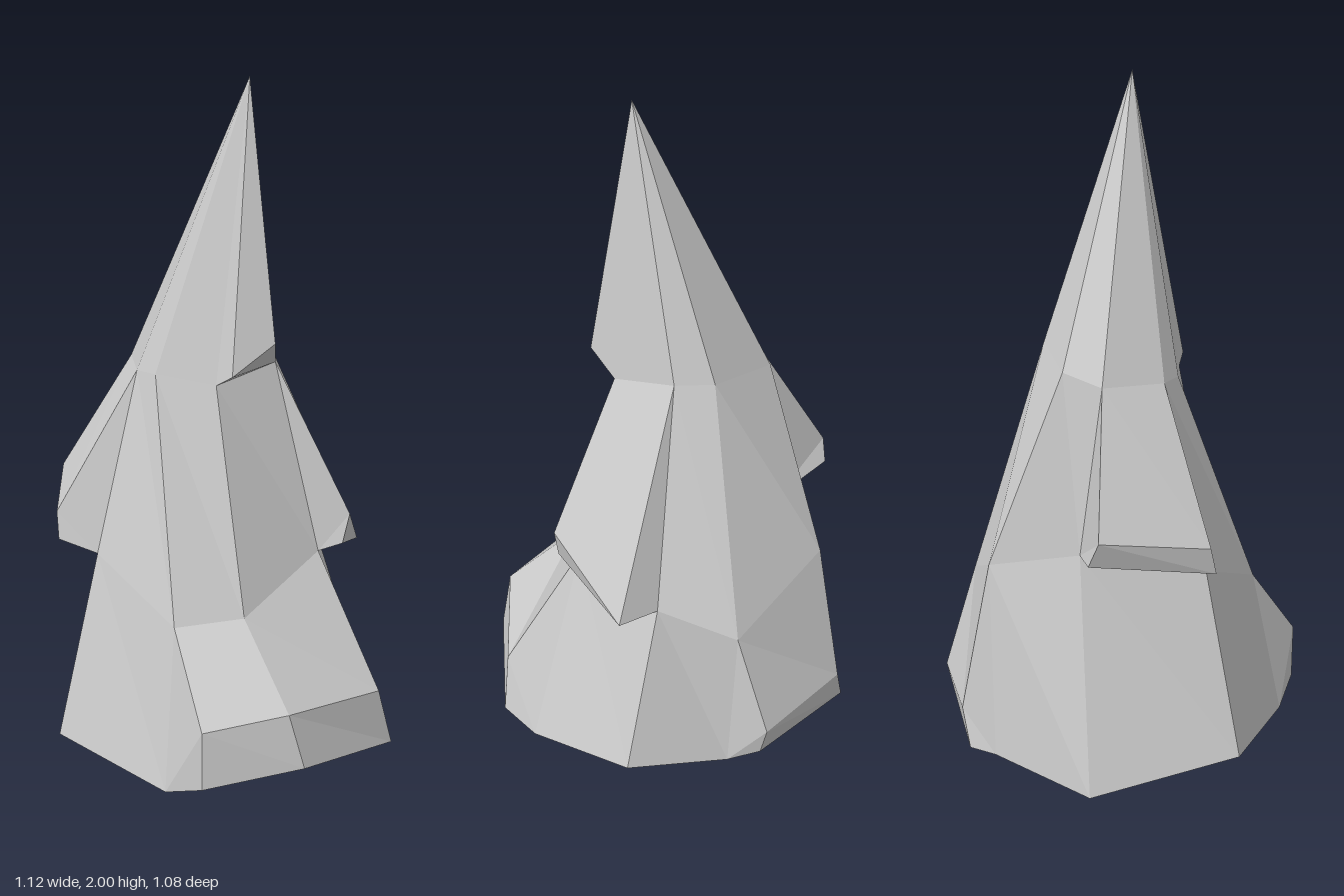
import * as THREE from 'three';

const material = new THREE.MeshStandardMaterial({ color: 0xcccccc, flatShading: true, side: THREE.DoubleSide });

// Collects triangles, skipping those collapsed to a line
function addTriangle(out, a, b, c) {
  if (a === b || b === c || a === c) return;
  out.push(...a, ...b, ...c);
}

function makeMesh(name, positions) {
  const geometry = new THREE.BufferGeometry();
  geometry.setAttribute('position', new THREE.Float32BufferAttribute(positions, 3));
  geometry.computeVertexNormals();
  const mesh = new THREE.Mesh(geometry, material);
  mesh.name = name;
  return mesh;
}

// Skins neighbouring spokes; every spoke runs from top to bottom
function skin(spokes, closed) {
  const out = [];
  const count = closed ? spokes.length : spokes.length - 1;
  for (let i = 0; i < count; i++) {
    const p = spokes[i], q = spokes[(i + 1) % spokes.length];
    for (let j = 0; j < p.length - 1; j++) {
      addTriangle(out, p[j], p[j + 1], q[j + 1]);
      addTriangle(out, p[j], q[j + 1], q[j]);
    }
  }
  return out;
}

// Overhanging bough: each edge is [top, rim, lower rim, root], sides closed to the root
function bough(first, last) {
  const side = ([top, , , root]) => [top, root, root, root];
  return skin([side(first), first, last, side(last)], false);
}

export function createModel() {
  const group = new THREE.Group();
  group.name = 'lowPolyTreeCrown';

  // Points shared by the tip, the body and the boughs
  const apex = [0.09, 2, 0.02];
  const frontLeft = [-0.21, 1.15, 0.16], front = [-0.13, 1.15, 0.19];
  const frontRight = [0.06, 1.13, 0.17], right = [0.165, 1.18, -0.005];
  const backRight = [0.05, 1.22, -0.18], back = [-0.06, 1.22, -0.22];
  const backLeft = [-0.285, 1.19, -0.12], left = [-0.325, 1.16, 0];
  const leftRoot = [-0.36, 0.67, -0.06], frontRoot = [-0.275, 0.61, 0.295];
  const rightRoot = [0.3, 0.61, -0.03], backRoot = [0.165, 0.56, -0.328];

  // Pointed tip with a small overhang on one side
  const lipFront = [0.115, 1.16, 0.175], lip = [0.205, 1.25, 0.08];
  const tipRing = [frontLeft, front, frontRight, lipFront, lip, right, backRight, back, backLeft, left];
  group.add(makeMesh('tip', skin(tipRing.map((p) => [apex, p]), true)));
  group.add(makeMesh('tipOverhang', skin([[lipFront, frontRight], [lip, right]], false)));

  // Hollow body, open below: spokes around the tree from the tip to the hem
  const frontFold = [0.05, 0.47, 0.41], backFold = [-0.04, 0.48, -0.455];
  const sideFold = [-0.375, 0.63, -0.325];
  const hem = {
    frontLeft: [-0.35, 0.06, 0.41], front: [0.07, 0.01, 0.505],
    right: [0.495, 0.01, -0.1], backRight: [0.3, 0.06, -0.41],
    back: [-0.02, 0.01, -0.445], backLeft: [-0.45, 0.06, -0.3], left: [-0.555, 0.005, 0],
  };
  const spokes = [
    [frontLeft, frontRoot, hem.frontLeft, hem.frontLeft],
    [front, frontFold, hem.front, hem.front],
    [front, frontFold, [0.205, 0.23, 0.535], [0.205, 0.06, 0.535]],
    [frontRight, [0.205, 0.48, 0.275], [0.405, 0.27, 0.395], [0.445, 0.11, 0.375]],
    [right, rightRoot, [0.53, 0.23, 0.035], [0.56, 0.06, 0]],
    [right, rightRoot, hem.right, hem.right],
    [backRight, backRoot, hem.backRight, hem.backRight],
    [back, backFold, hem.back, hem.back],
    [back, backFold, [-0.105, 0.17, -0.54], [-0.1, 0.07, -0.51]],
    [backLeft, sideFold, [-0.42, 0.19, -0.405], [-0.455, 0.08, -0.375]],
    [backLeft, sideFold, hem.backLeft, hem.backLeft],
    [left, leftRoot, hem.left, hem.left],
  ];
  group.add(makeMesh('body', skin(spokes, true)));

  // Overhanging boughs
  group.add(makeMesh('rightBough', bough(
    [left, [-0.565, 0.79, 0.03], [-0.56, 0.72, 0], leftRoot],
    [frontLeft, [-0.4, 0.73, 0.32], [-0.385, 0.65, 0.335], frontRoot])));
  const backCorner = [0.295, 0.56, -0.35];
  group.add(makeMesh('leftBough', bough(
    [right, [0.388, 0.73, -0.06], [0.372, 0.64, -0.045], rightRoot],
    [backRight, backCorner, backCorner, backRoot])));

  return group;
}
